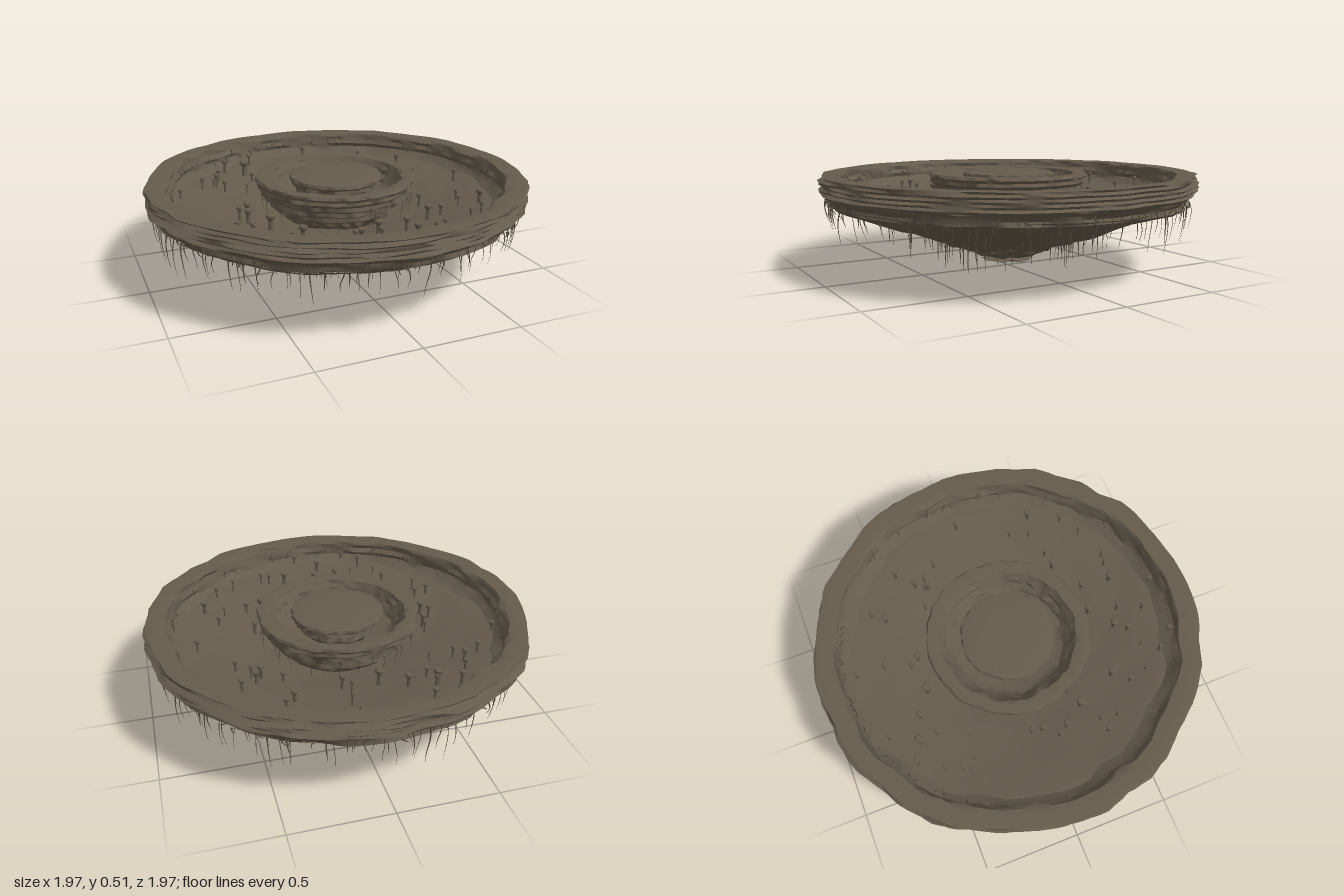
import * as THREE from 'three';
import { toCreasedNormals, mergeGeometries } from 'three/addons/utils/BufferGeometryUtils.js';

const SEG = 144;
const stone = new THREE.MeshStandardMaterial({ color: 0x655b4c });
stone.name = 'weathered stone';
const root = new THREE.MeshStandardMaterial({ color: 0x554b3d });
root.name = 'dry root';

let seed = 7;
const rnd = (a = 0, b = 1) => {
  seed = (seed * 16807) % 2147483647;
  return a + (b - a) * (seed / 2147483647);
};

// periodic value noise around the circle
function circleNoise(nodes) {
  const v = Array.from({ length: nodes }, () => rnd(-1, 1));
  return (i) => {
    const t = ((i % SEG) / SEG) * nodes;
    const k = Math.floor(t);
    return THREE.MathUtils.lerp(v[k % nodes], v[(k + 1) % nodes], t - k);
  };
}

// lathe whose rows wobble together (wave) and one by one (jag), with soft height lumps
function ragged(name, profile, { wave = 0.005, jag = 0.004, lump = 0, crease = 0.7 }) {
  const g = new THREE.LatheGeometry(profile.map(([r, y]) => new THREE.Vector2(r, y)), SEG);
  const p = g.attributes.position;
  const shared = circleNoise(48);
  const rows = profile.map(() => circleNoise(60));
  const n = profile.length;
  for (let i = 0; i <= SEG; i++) {
    const a = ((i % SEG) / SEG) * Math.PI * 2;
    for (let j = 0; j < n; j++) {
      const [r, y] = profile[j];
      const fade = Math.min(1, r / 0.15);
      const R = Math.max(0, r + fade * (wave * shared(i) + jag * rows[j](i)));
      const dy = fade * lump * (Math.sin(a * 5 + r * 14) + Math.sin(a * 9 - r * 23) * 0.7);
      p.setXYZ(i * n + j, R * Math.sin(a), y + dy, R * Math.cos(a));
    }
  }
  const mesh = new THREE.Mesh(toCreasedNormals(g, crease), stone);
  mesh.name = name;
  return mesh;
}

// tapering strand through a few points
function strand(points, radius, steps = 7, sides = 4) {
  const g = new THREE.TubeGeometry(new THREE.CatmullRomCurve3(points), steps, radius, sides, false);
  const p = g.attributes.position;
  const curve = g.parameters.path;
  const v = new THREE.Vector3();
  for (let i = 0; i <= steps; i++) {
    const c = curve.getPointAt(i / steps);
    for (let j = 0; j <= sides; j++) {
      const k = i * (sides + 1) + j;
      v.fromBufferAttribute(p, k).sub(c).multiplyScalar(1 - 0.85 * (i / steps)).add(c);
      p.setXYZ(k, v.x, v.y, v.z);
    }
  }
  return g;
}

const polar = (r, a, y) => new THREE.Vector3(r * Math.sin(a), y, r * Math.cos(a));

// roots scattered around a circle, hanging with a slight curl
function hangingRoots(name, count, place, length, radius, curl) {
  const parts = [];
  for (let i = 0; i < count; i++) {
    const a = ((i + rnd(-0.5, 0.5)) / count) * Math.PI * 2;
    const [r, y] = place();
    const len = rnd(...length);
    const sway = rnd(-curl, curl) / r;
    parts.push(strand([
      polar(r, a, y), polar(r + curl * 0.4, a + sway * 0.4, y - len * 0.3),
      polar(r + curl * 0.3, a + sway, y - len * 0.65), polar(r - curl * 0.1, a + sway * rnd(0.6, 1.5), y - len),
    ], rnd(...radius)));
  }
  const mesh = new THREE.Mesh(mergeGeometries(parts), root);
  mesh.name = name;
  return mesh;
}

const floorY = (r) => 0.28 + 0.1 * THREE.MathUtils.clamp((r - 0.28) / 0.55, 0, 1);
const underY = (r) => (r < 0.33 ? 0.04 + r * 0.26 : 0.125 + (r - 0.33) * 0.355);

// small cluster of short stalks with flared caps: x, z, cap radius
const STALKS = [
  [-0.33, -0.59, 0.024], [-0.2, -0.55, 0.018], [-0.08, -0.47, 0.022], [-0.43, -0.64, 0.016], [-0.26, -0.73, 0.013],
  [-0.5, -0.52, 0.013], [-0.53, -0.44, 0.013], [-0.31, -0.5, 0.013], [-0.5, -0.37, 0.012], [-0.62, -0.39, 0.012],
  [-0.77, -0.23, 0.012], [-0.48, 0, 0.017], [-0.54, 0.07, 0.014], [-0.51, 0.12, 0.018], [-0.43, 0.23, 0.024],
  [-0.61, 0.3, 0.015], [-0.54, 0.29, 0.012], [-0.34, 0.44, 0.021], [-0.41, 0.51, 0.013], [-0.32, 0.71, 0.013],
  [-0.1, 0.56, 0.02], [-0.15, 0.61, 0.014], [-0.02, 0.61, 0.014], [-0.07, 0.73, 0.015], [0.03, 0.47, 0.021],
  [0.17, 0.49, 0.017], [0.15, 0.64, 0.02], [0.05, 0.82, 0.013], [0.34, 0.39, 0.018], [0.42, 0.38, 0.014],
  [0.65, 0.37, 0.019], [0.41, 0.17, 0.015], [0.59, 0.24, 0.011], [0.73, -0.02, 0.012], [0.46, -0.28, 0.016],
  [0.49, -0.34, 0.017], [0.57, -0.42, 0.014], [0.35, -0.55, 0.017], [0.4, -0.61, 0.014], [0.1, -0.46, 0.016],
  [0.1, -0.78, 0.011], [0.36, -0.33, 0.013], [0.57, -0.21, 0.013], [0.24, 0.65, 0.011], [-0.24, 0.8, 0.012],
];

function stalk(x, z, r) {
  const h = 0.035 + r * 1.6 + rnd(0, 0.02);
  const g = new THREE.LatheGeometry([
    [r * 0.6, -0.01], [r * 0.45, h * 0.6], [r, h * 0.82], [r, h * 0.94], [r * 0.7, h], [0, h - r * 0.15],
  ].map(([a, b]) => new THREE.Vector2(a, b)), 10);
  const mesh = new THREE.Mesh(toCreasedNormals(g, 0.7), stone);
  mesh.position.set(x, floorY(Math.hypot(x, z)), z);
  mesh.name = 'stalk';
  return mesh;
}

export function createModel() {
  const model = new THREE.Group();
  model.name = 'tieredFloatingIsland';

  // lumpy keel with a stepped tip
  model.add(ragged('underside', [
    [0, 0.008], [0.08, 0.018], [0.135, 0.03], [0.1, 0.042], [0.14, 0.055], [0.18, 0.07], [0.21, 0.076], [0.22, 0.092],
    [0.27, 0.1], [0.285, 0.115], [0.35, 0.128], [0.37, 0.142], [0.44, 0.16], [0.52, 0.192], [0.6, 0.223],
    [0.68, 0.25], [0.76, 0.278], [0.84, 0.306], [0.9, 0.325], [0.935, 0.35],
  ], { wave: 0.006, jag: 0.01, lump: 0.005, crease: 1.0 }));

  // outer wall with thin ragged strata, flat lip and inner face
  const wall = [[0.9, 0.325], [0.925, 0.34], [0.925, 0.362], [0.94, 0.38], [0.95, 0.388]];
  for (let i = 0; i < 9; i++) wall.push([0.962 + (i % 2) * 0.014, 0.396 + i * 0.0105]);
  wall.push([0.968, 0.49], [0.945, 0.492], [0.91, 0.49], [0.875, 0.488], [0.865, 0.475], [0.868, 0.455],
    [0.855, 0.435], [0.858, 0.415], [0.84, 0.395], [0.8, 0.372]);
  model.add(ragged('outerRim', wall, { wave: 0.013, jag: 0.01 }));

  // basin floor sloping toward the middle
  const floor = [];
  for (let r = 0.88; r > 0.2; r -= 0.06) floor.push([r, floorY(r)]);
  model.add(ragged('basinFloor', floor, { wave: 0, jag: 0, lump: 0.0025, crease: 1.2 }));

  // raised inner bowl, tapering in steps to its foot
  model.add(ragged('innerBowl', [
    [0.26, 0.26], [0.275, 0.29], [0.3, 0.305], [0.305, 0.325], [0.335, 0.34], [0.335, 0.362], [0.365, 0.378],
    [0.365, 0.398], [0.39, 0.412], [0.388, 0.432], [0.408, 0.448], [0.404, 0.464], [0.414, 0.478], [0.408, 0.491],
    [0.375, 0.493], [0.345, 0.488], [0.335, 0.468], [0.322, 0.455], [0.315, 0.43], [0.295, 0.415], [0.285, 0.395],
    [0.25, 0.38], [0.12, 0.375],
  ], { wave: 0.005, jag: 0.006 }));

  // central plateau standing in the inner bowl
  model.add(ragged('centralPlateau', [
    [0.17, 0.365], [0.18, 0.395], [0.205, 0.41], [0.2, 0.428], [0.225, 0.445], [0.222, 0.462], [0.238, 0.475],
    [0.234, 0.49], [0.2, 0.496], [0.1, 0.499], [0, 0.5],
  ], { wave: 0.005, jag: 0.005 }));

  const stalks = new THREE.Group();
  stalks.name = 'stalks';
  STALKS.forEach((s) => stalks.add(stalk(...s)));
  // a few thin extra stalks between the larger ones
  for (let i = 0; i < 16; i++) {
    const p = polar(rnd(0.47, 0.78), rnd(0, 6.28), 0);
    stalks.add(stalk(p.x, p.z, rnd(0.007, 0.011)));
  }
  model.add(stalks);

  // roots: fringe under the rim, spikes below the keel, threads on the inner bowl
  model.add(hangingRoots('rimRoots', 130, () => [rnd(0.915, 0.94), rnd(0.36, 0.4)], [0.06, 0.21], [0.002, 0.0045], 0.03));
  model.add(hangingRoots('keelRoots', 85, () => {
    const r = rnd(0.3, 0.88);
    return [r, underY(r) + 0.015];
  }, [0.05, 0.15], [0.003, 0.006], 0.006));
  model.add(hangingRoots('bowlRoots', 40, () => [rnd(0.375, 0.4), rnd(0.4, 0.43)], [0.05, 0.13], [0.0015, 0.003], 0.015));

  // twigs lying slanted against the rim, inside and outside
  const twigs = [];
  for (let i = 0; i < 130; i++) {
    const a = rnd(0, 6.28), inside = i % 2 === 0;
    const r = inside ? 0.855 : 0.937, y = inside ? rnd(0.42, 0.465) : rnd(0.35, 0.385);
    const da = rnd(-0.05, 0.05);
    twigs.push(strand([polar(r, a, y), polar(r + (inside ? -0.012 : 0.008), a + da * 0.5, y - 0.012),
      polar(r - 0.01, a + da, y - 0.035)], 0.004, 4));
  }
  const twigMesh = new THREE.Mesh(mergeGeometries(twigs), root);
  twigMesh.name = 'rimTwigs';
  model.add(twigMesh);
  return model;
}
